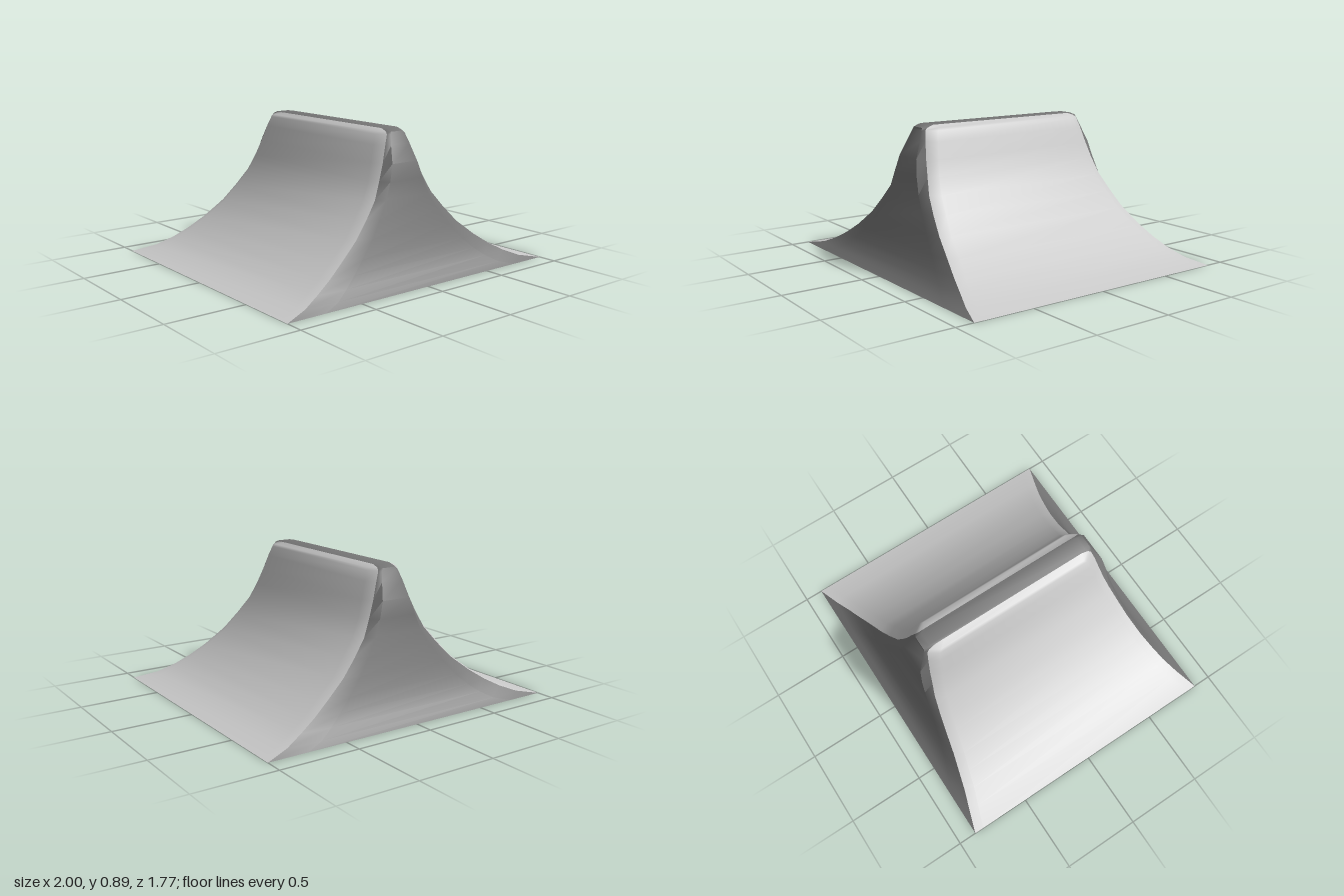
import * as THREE from 'three';
import { toCreasedNormals } from 'three/addons/utils/BufferGeometryUtils.js';

// Each level: height, half width mid-slope, half width at hip, half depth mid-gable, half depth at hip
const LEVELS = [
  [0, 1, 1, 0.885, 0.885],
  [0.03, 0.865, 0.85, 0.85, 0.835],
  [0.075, 0.76, 0.74, 0.815, 0.797],
  [0.13, 0.66, 0.637, 0.787, 0.768],
  [0.2, 0.56, 0.53, 0.76, 0.738],
  [0.3, 0.43, 0.4, 0.735, 0.708],
  [0.4, 0.345, 0.305, 0.715, 0.685],
  [0.5, 0.262, 0.222, 0.7, 0.662],
  [0.6, 0.205, 0.172, 0.688, 0.64],
  [0.7, 0.17, 0.13, 0.67, 0.622],
  [0.8, 0.135, 0.095, 0.627, 0.603],
  [0.86, 0.112, 0.07, 0.602, 0.588],
  [0.875, 0.1, 0.062, 0.597, 0.57],
  [0.89, 0.058, 0.058, 0.56, 0.525],
];
const HIP_ROUND = 0.06;

// Skin a sheet over rows of points
function skin(rows, crease) {
  const n = rows[0].length;
  const index = [];
  for (let i = 0; i < rows.length - 1; i++) {
    for (let j = 0; j < n - 1; j++) {
      const a = i * n + j;
      index.push(a, a + n, a + 1, a + 1, a + n, a + n + 1);
    }
  }
  const geometry = new THREE.BufferGeometry();
  geometry.setAttribute('position', new THREE.Float32BufferAttribute(rows.flat(2), 3));
  geometry.setIndex(index);
  return toCreasedNormals(geometry, crease);
}

// Slope panel on +x, its side edges turned in to the hips
function slopeGeometry() {
  const rows = LEVELS.map(([y, xo, xi, , zi]) => {
    const za = zi - HIP_ROUND;
    return [[xi, y, -zi], [xo, y, -za], [xo, y, za], [xi, y, zi]];
  });
  return skin(rows, 1.2);
}

// One sheet: up the front gable, along the ridge, down the back gable
function gableGeometry() {
  const gable = (side) => LEVELS.map(([y, , xi, zo, zi]) => {
    const xb = xi * 0.75;
    return [[xi, y, side * zi], [xb, y, side * zo], [-xb, y, side * zo], [-xi, y, side * zi]];
  });
  return skin([...gable(1), ...gable(-1).reverse()], 0.8);
}

export function createModel() {
  const group = new THREE.Group();
  group.name = 'curvedRoof';

  const panel = new THREE.MeshStandardMaterial({ color: 0xcccccc, side: THREE.DoubleSide });
  const slope = slopeGeometry();
  ['leftSlope', 'rightSlope'].forEach((name, i) => {
    const mesh = new THREE.Mesh(slope, panel);
    mesh.name = name;
    mesh.rotation.y = i * Math.PI;
    group.add(mesh);
  });

  const dark = new THREE.MeshStandardMaterial({ color: 0x767676, side: THREE.DoubleSide });
  const gables = new THREE.Mesh(gableGeometry(), dark);
  gables.name = 'gablesAndRidge';
  group.add(gables);
  return group;
}
